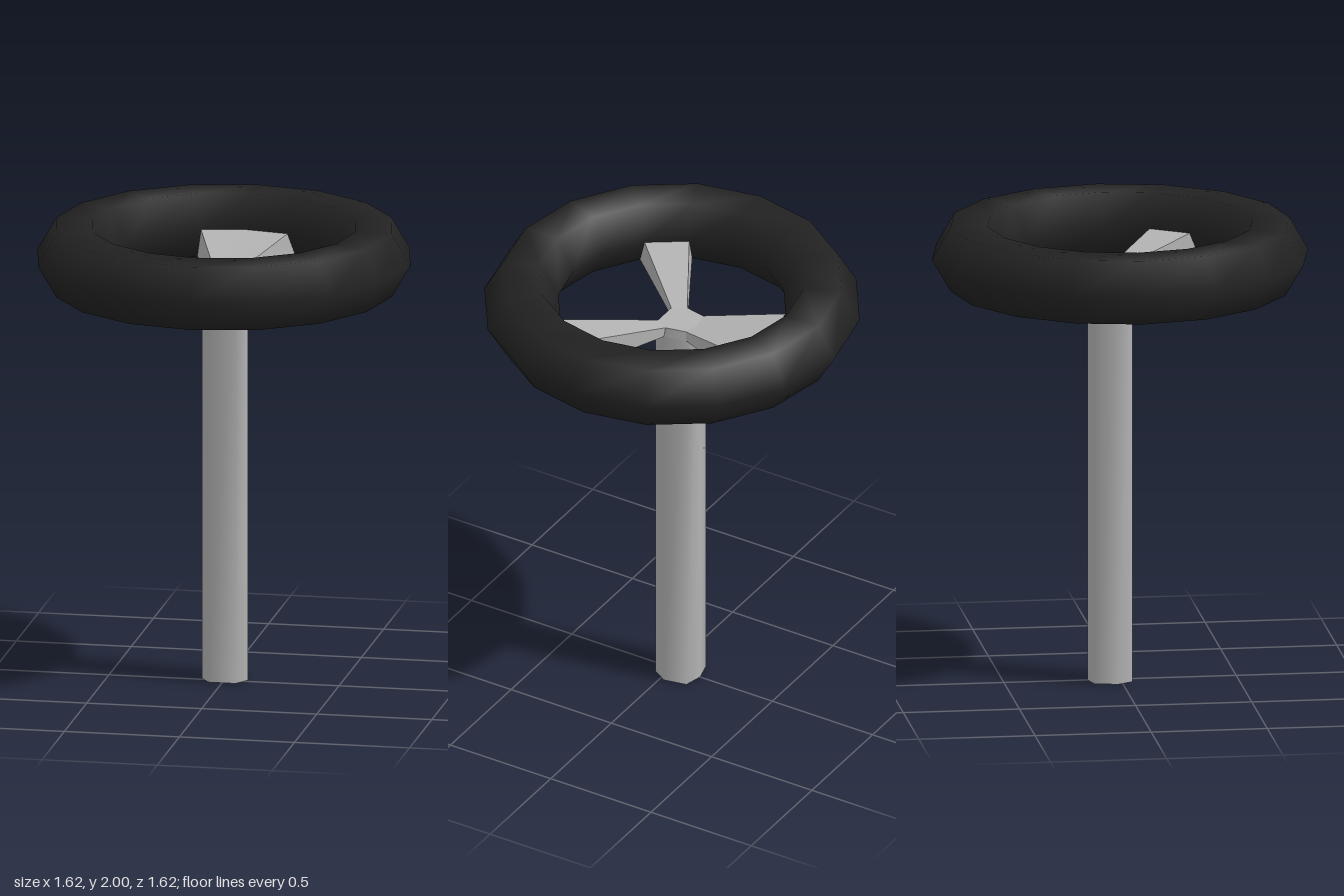
import * as THREE from 'three';
import { toCreasedNormals } from 'three/addons/utils/BufferGeometryUtils.js';

const RING_R = 0.65, TUBE_R = 0.16, RING_Y = 1.862;
const HUB_LOW = 1.76, HUB_TOP = 1.8;

// Seven-sided column outline as [x, z], counter-clockwise from above
const outline = [
  [0.06, 0.045], [0.1, -0.02], [0.08, -0.12], [0, -0.14],
  [-0.08, -0.12], [-0.1, -0.02], [-0.06, 0.045],
];

// Outline at height y, scaled about the column axis
const outlineAt = (y, s = 1) =>
  outline.map(([x, z]) => new THREE.Vector3(x * s, y, (z + 0.04) * s - 0.04));

// Skin closed loops of equal length, optionally closing the last loop
function loft(loops, closeEnd = false) {
  const n = loops[0].length;
  const points = loops.flat();
  const index = [];
  for (let k = 0; k < loops.length - 1; k++) {
    for (let i = 0; i < n; i++) {
      const a = k * n + i, b = k * n + ((i + 1) % n);
      index.push(a, b, b + n, a, b + n, a + n);
    }
  }
  if (closeEnd) {
    const first = (loops.length - 1) * n;
    for (let i = 1; i < n - 1; i++) index.push(first, first + i, first + i + 1);
  }
  const geometry = new THREE.BufferGeometry().setFromPoints(points);
  geometry.setIndex(index);
  geometry.computeVertexNormals();
  return geometry;
}

// Point on the ring's cross-section at angle degrees around, from +z towards +x
function ringPoint(degrees, radius, y) {
  const t = THREE.MathUtils.degToRad(degrees);
  return new THREE.Vector3(Math.sin(t) * radius, y, Math.cos(t) * radius);
}

export function createModel() {
  const group = new THREE.Group();
  const rubber = new THREE.MeshStandardMaterial({ color: 0x222222 });
  rubber.name = 'black rubber';
  const metal = new THREE.MeshStandardMaterial({ color: 0xb3b3b3, side: THREE.DoubleSide });
  metal.name = 'grey metal';

  const add = (name, geometry, material) => {
    const mesh = new THREE.Mesh(geometry, material);
    mesh.name = name;
    group.add(mesh);
    return mesh;
  };

  // Wheel rim with a six-sided section
  const rim = new THREE.TorusGeometry(RING_R, TUBE_R, 6, 16).rotateX(Math.PI / 2);
  add('rim', rim, rubber).position.y = RING_Y;

  // Column, open at the foot
  add('column', loft([outlineAt(0), outlineAt(HUB_LOW)]), metal);

  // Slightly tapered hub on top of the column
  const low = outlineAt(HUB_LOW), top = outlineAt(HUB_TOP, 0.9);
  add('hub', toCreasedNormals(loft([low, top], true), 0.9), metal);

  // Spokes flare from the hub sides to the lower inner faces of the rim
  const spokes = [
    ['leftSpoke', [0, 1], [45, 67.5]],
    ['backSpoke', [2, 3, 4], [157.5, 180, 202.5]],
    ['rightSpoke', [5, 6], [292.5, 315]],
  ];
  const dip = TUBE_R * Math.sin(Math.PI / 3);
  for (const [name, corners, angles] of spokes) {
    const inner = [
      ...corners.map((i) => low[i]),
      ...corners.map((i) => top[i]).reverse(),
    ];
    const outer = [
      ...angles.map((a) => ringPoint(a, RING_R - TUBE_R / 2, RING_Y - dip)),
      ...angles.map((a) => ringPoint(a, RING_R - TUBE_R, RING_Y)).reverse(),
    ];
    add(name, toCreasedNormals(loft([inner, outer]), 0.7), metal);
  }
  return group;
}
